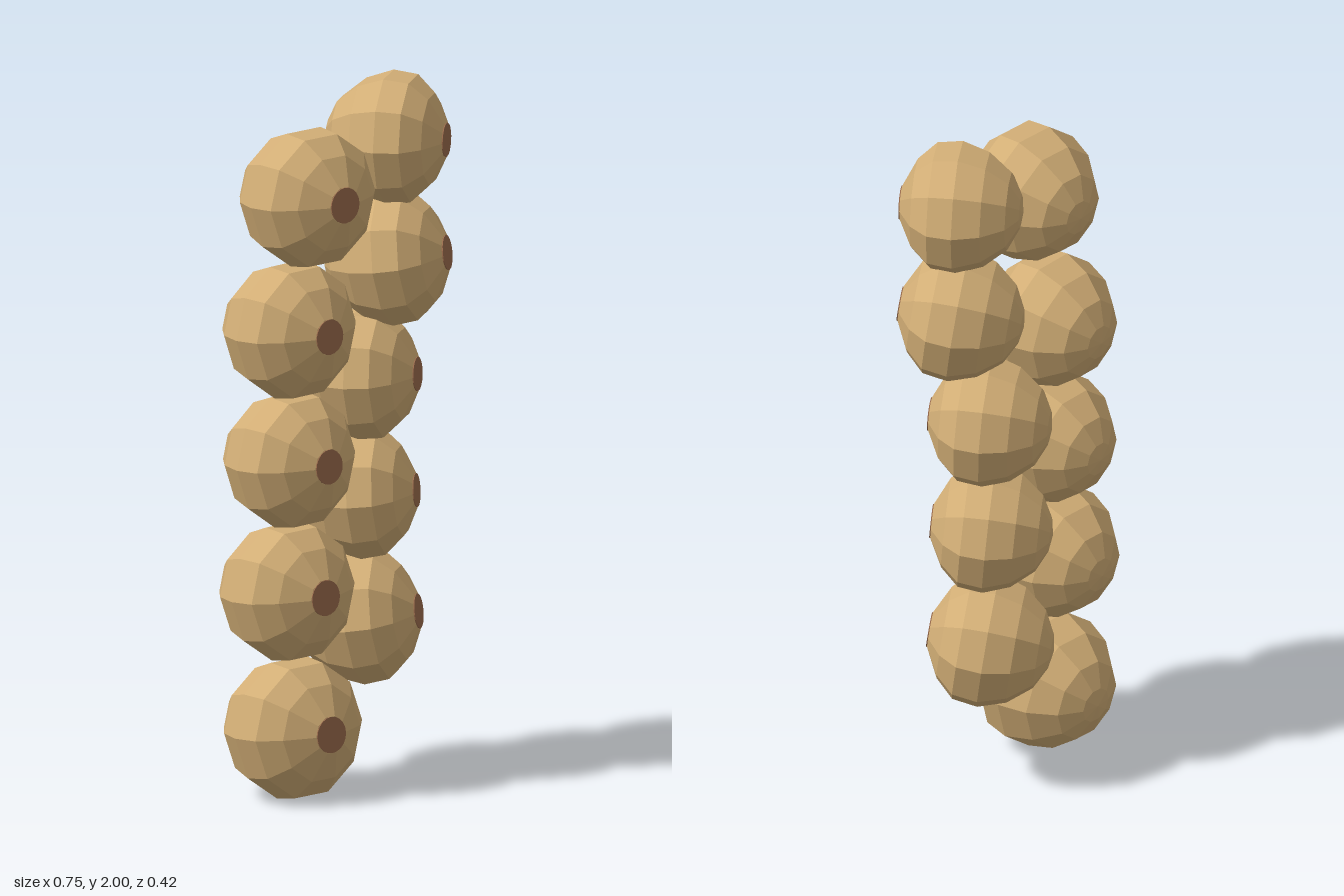
import * as THREE from 'three';

const SKIN = new THREE.MeshStandardMaterial({ color: 0xd2ae76, flatShading: true });
const SPOT = new THREE.MeshStandardMaterial({ color: 0x9a6b4c, flatShading: true });

// Ball profile [radius, distance along axis], back pole to flat front
const PROFILE = [
  [0, -0.183], [0.05, -0.175], [0.115, -0.142], [0.17, -0.075], [0.197, 0.005],
  [0.187, 0.079], [0.135, 0.133], [0.052, 0.174], [0, 0.174],
].map(([r, a]) => new THREE.Vector2(r, a));

// Ten-sided faceted ball whose axis points to +z, flat side up
const ballGeometry = new THREE.LatheGeometry(PROFILE, 10, Math.PI / 10).rotateX(Math.PI / 2);
const spotGeometry = new THREE.CylinderGeometry(0.05, 0.05, 0.006, 20).rotateX(Math.PI / 2);

// Each ball: x, y, z, yaw and pitch in degrees, scale
const RIGHT_COLUMN = [
  [-0.15, 0.195, -0.02, -7, 4, 1.02],
  [-0.178, 0.59, -0.015, -6, 4, 1],
  [-0.16, 0.96, -0.022, -4, 3, 0.98],
  [-0.16, 1.33, -0.022, -4, 3, 0.99],
  [-0.15, 1.715, 0.035, -7, 3, 1],
];
const LEFT_COLUMN = [
  [0.14, 0.455, -0.033, 30, 8, 0.97],
  [0.134, 0.808, -0.031, 32, 5, 0.94],
  [0.138, 1.147, -0.03, 28, 3, 0.95],
  [0.182, 1.481, 0.037, 29, 8, 0.97],
  [0.183, 1.822, 0.036, 29, 1, 0.95],
];

function makeBall([x, y, z, yaw, pitch, scale]) {
  const ball = new THREE.Group();
  ball.name = 'ball';
  const body = new THREE.Mesh(ballGeometry, SKIN);
  body.name = 'ballBody';
  const spot = new THREE.Mesh(spotGeometry, SPOT);
  spot.name = 'frontSpot';
  spot.position.z = 0.174;
  ball.add(body, spot);
  ball.position.set(x, y, z);
  const rad = THREE.MathUtils.degToRad;
  ball.rotation.set(-rad(pitch), rad(yaw), 0, 'YXZ');
  ball.scale.setScalar(scale);
  return ball;
}

function makeColumn(name, balls) {
  const column = new THREE.Group();
  column.name = name;
  balls.forEach((b) => column.add(makeBall(b)));
  return column;
}

export function createModel() {
  const model = new THREE.Group();
  model.name = 'stackedBalls';
  model.add(makeColumn('rightColumn', RIGHT_COLUMN), makeColumn('leftColumn', LEFT_COLUMN));
  return model;
}
